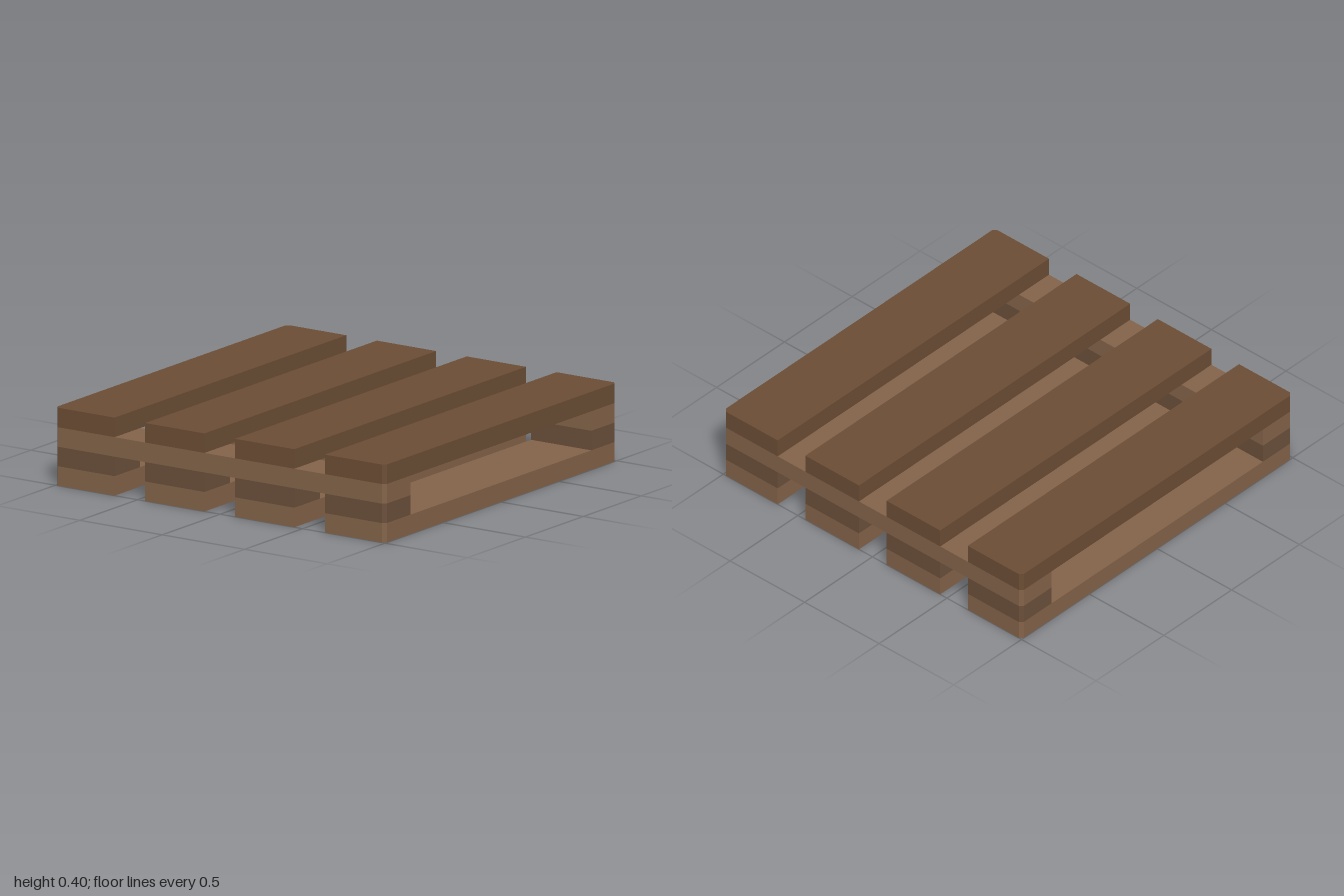
import * as THREE from 'three';

const T = 0.1;        // thickness of every layer
const CUT = 0.018;    // bevel on the pallet's outer vertical corners
const END = 0.78;     // inner edge of the end bars and blocks

const topWood = new THREE.MeshStandardMaterial({ color: 0x6b4d35 });
const paleWood = new THREE.MeshStandardMaterial({ color: 0x836349 });
const blockWood = new THREE.MeshStandardMaterial({ color: 0x6a4f3a });

// Horizontal board; a corner is bevelled only where it is an outer pallet corner
function board(name, material, x0, x1, z0, z1, y) {
  const points = [];
  for (const [x, z, alongX] of [[x0, z0, false], [x1, z0, true], [x1, z1, false], [x0, z1, true]]) {
    if (Math.abs(x) > 0.99 && Math.abs(z) > 0.99) {
      const a = new THREE.Vector2(x - Math.sign(x) * CUT, z);
      const b = new THREE.Vector2(x, z - Math.sign(z) * CUT);
      points.push(...(alongX ? [a, b] : [b, a]));
    } else {
      points.push(new THREE.Vector2(x, z));
    }
  }
  const geometry = new THREE.ExtrudeGeometry(new THREE.Shape(points), { depth: T, bevelEnabled: false });
  geometry.rotateX(Math.PI / 2).translate(0, y + T, 0);
  const mesh = new THREE.Mesh(geometry, material);
  mesh.name = name;
  return mesh;
}

export function createModel() {
  const pallet = new THREE.Group();
  pallet.name = 'pallet';

  // Four columns of boards: bottom runner, end blocks and deck plank
  const columns = [[-1, -0.64], [-0.455, -0.095], [0.09, 0.45], [0.635, 1]];
  columns.forEach(([x0, x1], i) => {
    const n = i + 1;
    pallet.add(
      board(`bottomPlank${n}`, paleWood, x0, x1, -1, 1, 0),
      board(`frontBlock${n}`, blockWood, x0, x1, END, 1, T),
      board(`backBlock${n}`, blockWood, x0, x1, -1, -END, T),
      board(`topPlank${n}`, topWood, x0, x1, -1, 1, 3 * T)
    );
  });

  // Cross bars tying the columns together at each end
  pallet.add(
    board('frontCrossBar', paleWood, -1, 1, END, 1, 2 * T),
    board('backCrossBar', paleWood, -1, 1, -1, -END, 2 * T)
  );
  return pallet;
}
